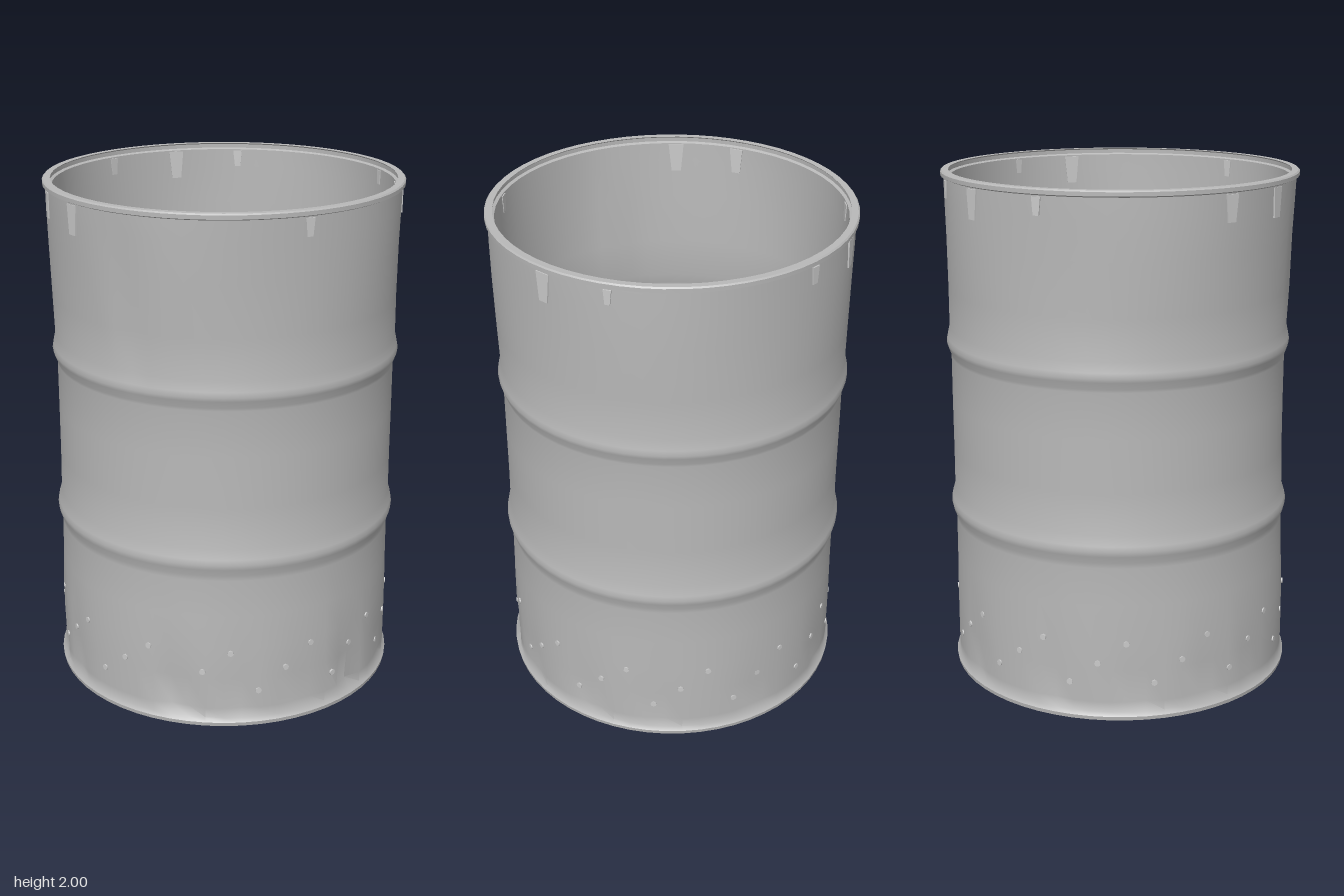
import * as THREE from 'three';
import { toCreasedNormals } from 'three/addons/utils/BufferGeometryUtils.js';

const WALL = 0.025; // shell thickness
const OUTER = [ // radius, height
  [0.680, 0], [0.682, 0.015], [0.670, 0.03], [0.670, 0.07], [0.670, 0.2], [0.669, 0.33], [0.667, 0.46],
  [0.666, 0.61], [0.668, 0.632], [0.680, 0.66], [0.684, 0.68], [0.680, 0.7], [0.669, 0.74],
  [0.668, 0.9], [0.668, 1.1], [0.667, 1.28], [0.669, 1.292], [0.680, 1.32], [0.684, 1.335], [0.680, 1.355],
  [0.671, 1.395], [0.672, 1.55], [0.674, 1.75], [0.676, 1.9], [0.676, 1.975], [0.687, 1.98], [0.687, 1.995], [0.682, 2],
];
// Wedge dents round the foot: angle, depth
const DENTS = [[0.25, 0.03], [0.62, 0.012], [1.0, 0.012], [1.35, 0.03], [1.75, 0.01], [2.25, 0.014],
  [2.7, 0.01], [3.3, 0.012], [3.9, 0.012], [4.5, 0.012], [5.0, 0.014], [5.42, 0.016], [5.75, 0.01]];

const wrap = (a) => Math.atan2(Math.sin(a), Math.cos(a));
const tent = (x, w) => Math.max(0, 1 - Math.abs(x) / w);

// How far the sheet metal is pushed in or out at an angle and height
function dent(angle, y) {
  const a = wrap(angle);
  const mid = Math.max(0, Math.sin(Math.PI * THREE.MathUtils.clamp((y - 0.3) / 1.65, 0, 1)));
  let d = -0.018 * mid * (0.5 + 0.5 * Math.cos(a)) ** 2;
  // creased hollow running down from the rim at the front
  if (y > 1.3 && y < 1.98) d -= 0.012 * tent(a, 0.28 * (y - 1.28) / 0.7) * Math.sin(Math.PI * (y - 1.3) / 0.68);
  if (y > 1.4 && y < 1.98) d += 0.004 * Math.sin(5 * a + 1) * Math.sin(Math.PI * (y - 1.4) / 0.58);
  if (y > 0.05 && y < 0.46) {
    const fade = (0.46 - y) / 0.39;
    for (const [c, depth] of DENTS) d -= depth * fade * tent(wrap(a - c), 0.04 + 0.08 * fade);
  }
  return d;
}

// Outer radius of the drum, used to seat the details
function radiusAt(angle, y) {
  const i = Math.max(1, OUTER.findIndex((p) => p[1] >= y));
  const [r0, y0] = OUTER[i - 1], [r1, y1] = OUTER[i];
  return THREE.MathUtils.lerp(r0, r1, (y - y0) / (y1 - y0)) + dent(angle, y);
}

export function createModel() {
  const group = new THREE.Group();
  const steel = new THREE.MeshStandardMaterial({ color: 0xb8b8b8 });
  steel.name = 'grey steel';
  const bare = new THREE.MeshStandardMaterial({ color: 0xcacaca });
  bare.name = 'bare metal';

  const add = (name, geometry, material, parent = group) => {
    const mesh = new THREE.Mesh(geometry, material);
    mesh.name = name;
    parent.add(mesh);
    return mesh;
  };

  // Shell: outer profile up, inner profile down, closed under the foot
  const inner = OUTER.map(([r, y]) => [r - WALL, y]).reverse();
  const profile = [...OUTER, ...inner, OUTER[0]].map(([r, y]) => new THREE.Vector2(r, y));
  const shell = new THREE.LatheGeometry(profile, 60);
  const p = shell.attributes.position;
  for (let i = 0; i < p.count; i++) {
    const x = p.getX(i), y = p.getY(i), z = p.getZ(i);
    const k = 1 + dent(Math.atan2(x, z), y) / Math.hypot(x, z);
    p.setXYZ(i, x * k, y, z * k);
  }
  add('drumShell', toCreasedNormals(shell, 0.7), steel);

  // Floor
  const floor = add('floor', new THREE.CylinderGeometry(0.65, 0.65, 0.015, 30), steel);
  floor.position.y = 0.02;

  // Places a part on the wall, facing outwards
  const seat = (object, angle, y) => {
    const r = radiusAt(angle, y);
    object.position.set(r * Math.sin(angle), y, r * Math.cos(angle));
    object.rotation.y = angle;
  };

  // Ring of air holes in three staggered heights
  const holes = new THREE.Group();
  holes.name = 'airHoles';
  group.add(holes);
  const holeGeometry = new THREE.CylinderGeometry(0.012, 0.012, WALL + 0.008, 8)
    .rotateX(Math.PI / 2).translate(0, 0, -WALL / 2);
  for (let i = 0; i < 39; i++) {
    const hole = add('airHole', holeGeometry, bare, holes);
    seat(hole, 0.24 + i * Math.PI * 2 / 39, [0.145, 0.23, 0.31][i % 3]);
  }

  // Tapered slots below the rim: angle in degrees, scale
  const slots = new THREE.Group();
  slots.name = 'rimSlots';
  group.add(slots);
  const outline = new THREE.Shape([[-0.03, 0.055], [-0.02, -0.055], [0.018, -0.055], [0.03, 0.055]]
    .map(([x, y]) => new THREE.Vector2(x, y)));
  const slotGeometry = new THREE.ExtrudeGeometry(outline, { depth: WALL + 0.008, bevelEnabled: false })
    .translate(0, 0, -WALL - 0.004);
  for (const [degrees, s] of [[-23, 1], [-45, 0.9], [56, 0.6], [118, 1], [140, 0.5], [205, 0.6], [228, 1], [254, 0.6]]) {
    const slot = add('rimSlot', slotGeometry, bare, slots);
    seat(slot, THREE.MathUtils.degToRad(degrees), 1.97 - 0.055 * s);
    slot.scale.set(s, s, 1);
  }
  return group;
}
